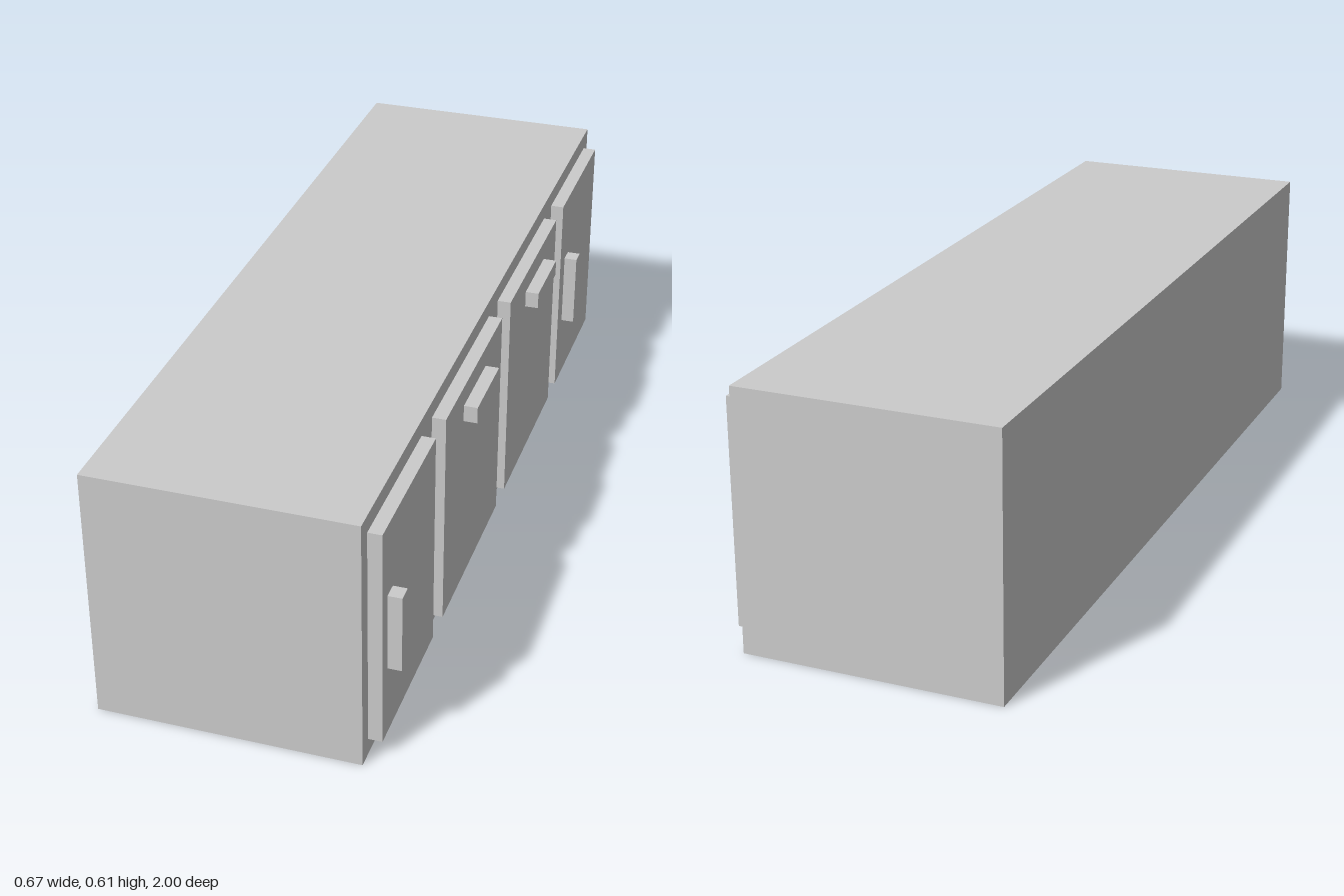
import * as THREE from 'three';

const material = new THREE.MeshStandardMaterial({ color: 0xcccccc });

// Box given by its extents along each axis
function block(name, [x0, x1], [y0, y1], [z0, z1]) {
  const mesh = new THREE.Mesh(new THREE.BoxGeometry(x1 - x0, y1 - y0, z1 - z0), material);
  mesh.name = name;
  mesh.position.set((x0 + x1) / 2, (y0 + y1) / 2, (z0 + z1) / 2);
  return mesh;
}

export function createModel() {
  const model = new THREE.Group();
  model.name = 'sideboard';

  const bodyFace = 0.272, panelFace = 0.304, handleFace = 0.336;
  model.add(block('cabinetBody', [-0.336, bodyFace], [0, 0.612], [-1, 1]));

  // Panels along the +x face: side doors have upright handles, middle ones level handles
  const upright = [0.213, 0.4], level = [0.483, 0.523];
  const fronts = [
    { name: 'leftDoor', z: [0.586, 0.962], handleY: upright, handleZ: [0.892, 0.929] },
    { name: 'leftMiddlePanel', z: [0.034, 0.508], handleY: level, handleZ: [0.178, 0.363] },
    { name: 'rightMiddlePanel', z: [-0.507, -0.045], handleY: level, handleZ: [-0.381, -0.197] },
    { name: 'rightDoor', z: [-0.962, -0.585], handleY: upright, handleZ: [-0.671, -0.633] },
  ];
  for (const { name, z, handleY, handleZ } of fronts) {
    const front = new THREE.Group();
    front.name = name;
    front.add(
      block(name + 'Board', [bodyFace, panelFace], [0.041, 0.572], z),
      block(name + 'Handle', [panelFace, handleFace], handleY, handleZ),
    );
    model.add(front);
  }
  return model;
}
